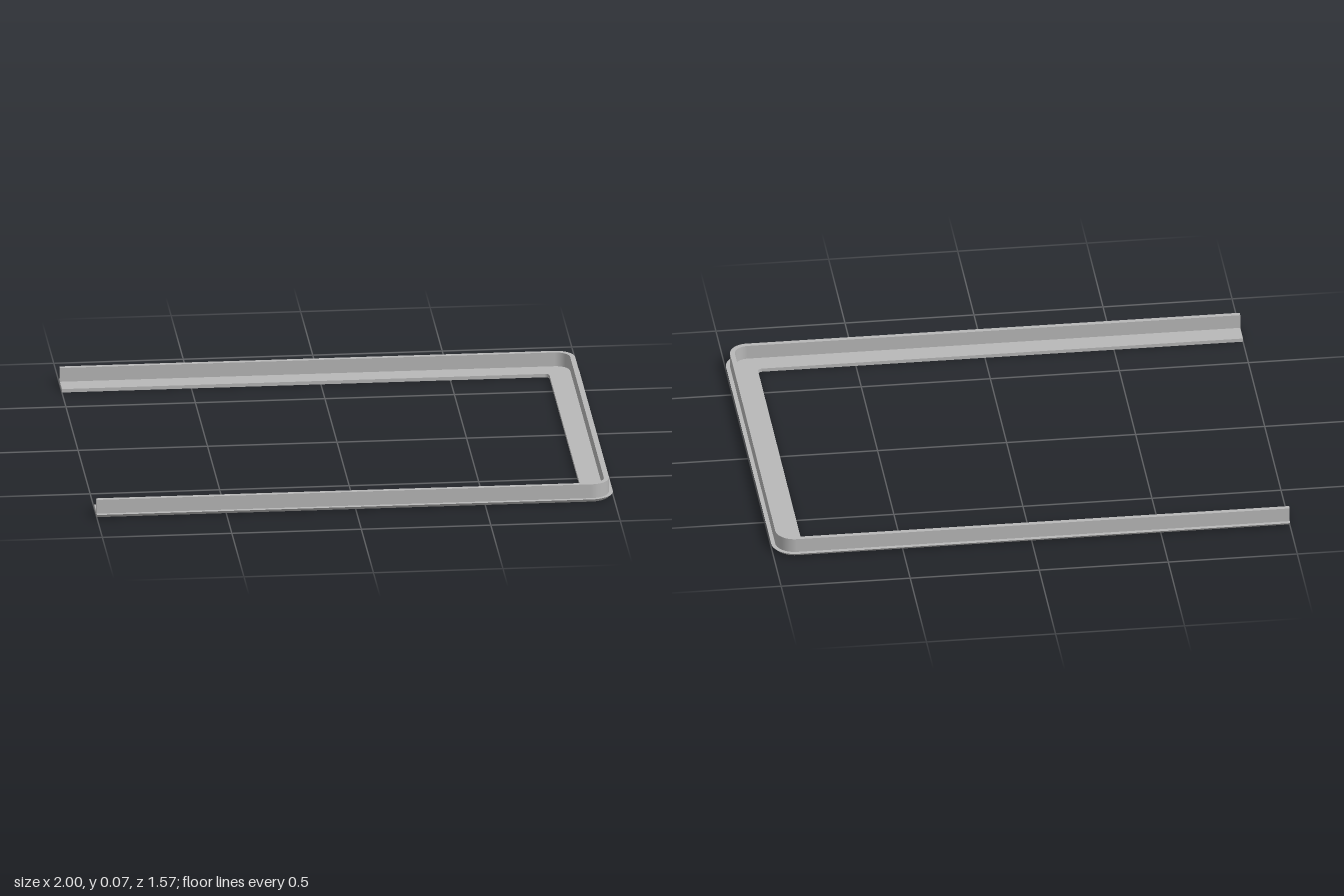
import * as THREE from 'three';
import { mergeGeometries } from 'three/addons/utils/BufferGeometryUtils.js';

const HALF = 0.783;          // outer half width in z
const RADIUS = 0.09;         // outer corner radius
const STEPS = 12;            // segments per corner

// Cross-section: [inset from the outer edge, height]
const flangeTop = 0.014, wallTop = 0.07;
const PROFILE = [
  [0.015, 0], [0, flangeTop], [0.016, flangeTop], [0.016, wallTop],
  [0.035, wallTop], [0.035, flangeTop], [0.119, flangeTop], [0.119, 0],
];

// U-shaped path for one point of the cross-section, front arm to back arm
function pathAt([inset, y]) {
  const r = Math.max(RADIUS - inset, 0.018);
  const cx = 1 - inset - r, cz = HALF - inset - r;
  const points = [[-1, y, HALF - inset]];
  for (const side of [1, -1]) {
    for (let i = 0; i <= STEPS; i++) {
      const a = (i / STEPS) * Math.PI / 2 + (side > 0 ? 0 : Math.PI / 2);
      points.push([cx + r * Math.sin(a), y, side * cz + r * Math.cos(a)]);
    }
  }
  points.push([-1, y, inset - HALF]);
  return points;
}

// One face strip between two paths: smooth along the path, sharp at its edges
function strip(a, b) {
  const n = a.length, index = [];
  for (let i = 0; i < n - 1; i++) {
    index.push(i, i + 1, n + i + 1, i, n + i + 1, n + i);
  }
  const g = new THREE.BufferGeometry();
  g.setAttribute('position', new THREE.Float32BufferAttribute([...a, ...b].flat(), 3));
  g.setIndex(index);
  // Exact outward normals: straight runs stay flat, corners stay round
  const normals = [];
  const da = new THREE.Vector3(), t = new THREE.Vector3();
  for (let k = 0; k < 2 * n; k++) {
    const i = k % n;
    const angle = i === 0 ? 0 : i === n - 1 ? Math.PI
      : i <= STEPS + 1 ? ((i - 1) / STEPS) * Math.PI / 2
      : Math.PI / 2 + ((i - STEPS - 2) / STEPS) * Math.PI / 2;
    t.set(Math.cos(angle), 0, -Math.sin(angle));
    // Outward offset and rise of the strip, taken on the front arm
    const out = b[0][2] - a[0][2], rise = b[0][1] - a[0][1];
    da.set(Math.sin(angle) * out, rise, Math.cos(angle) * out);
    const normal = t.clone().cross(da).normalize();
    normals.push(normal.x, normal.y, normal.z);
  }
  g.setAttribute('normal', new THREE.Float32BufferAttribute(normals, 3));
  return g;
}

export function createModel() {
  const group = new THREE.Group();
  group.name = 'edgeTrim';
  const grey = new THREE.MeshStandardMaterial({ color: 0xb8b8b8 });
  grey.name = 'grey metal';

  // Swept U-shaped rail
  const paths = PROFILE.map(pathAt);
  const strips = paths.map((p, i) => strip(p, paths[(i + 1) % paths.length]));
  const rail = new THREE.Mesh(mergeGeometries(strips), grey);
  rail.name = 'rail';
  group.add(rail);

  // Flat caps on the two open ends
  for (const side of [1, -1]) {
    const shape = new THREE.Shape(
      PROFILE.map(([inset, y]) => new THREE.Vector2(side * (HALF - inset), y)));
    const cap = new THREE.Mesh(new THREE.ShapeGeometry(shape), grey);
    cap.rotation.y = -Math.PI / 2;
    cap.position.x = -1;
    cap.name = side > 0 ? 'frontEndCap' : 'backEndCap';
    group.add(cap);
  }
  return group;
}
